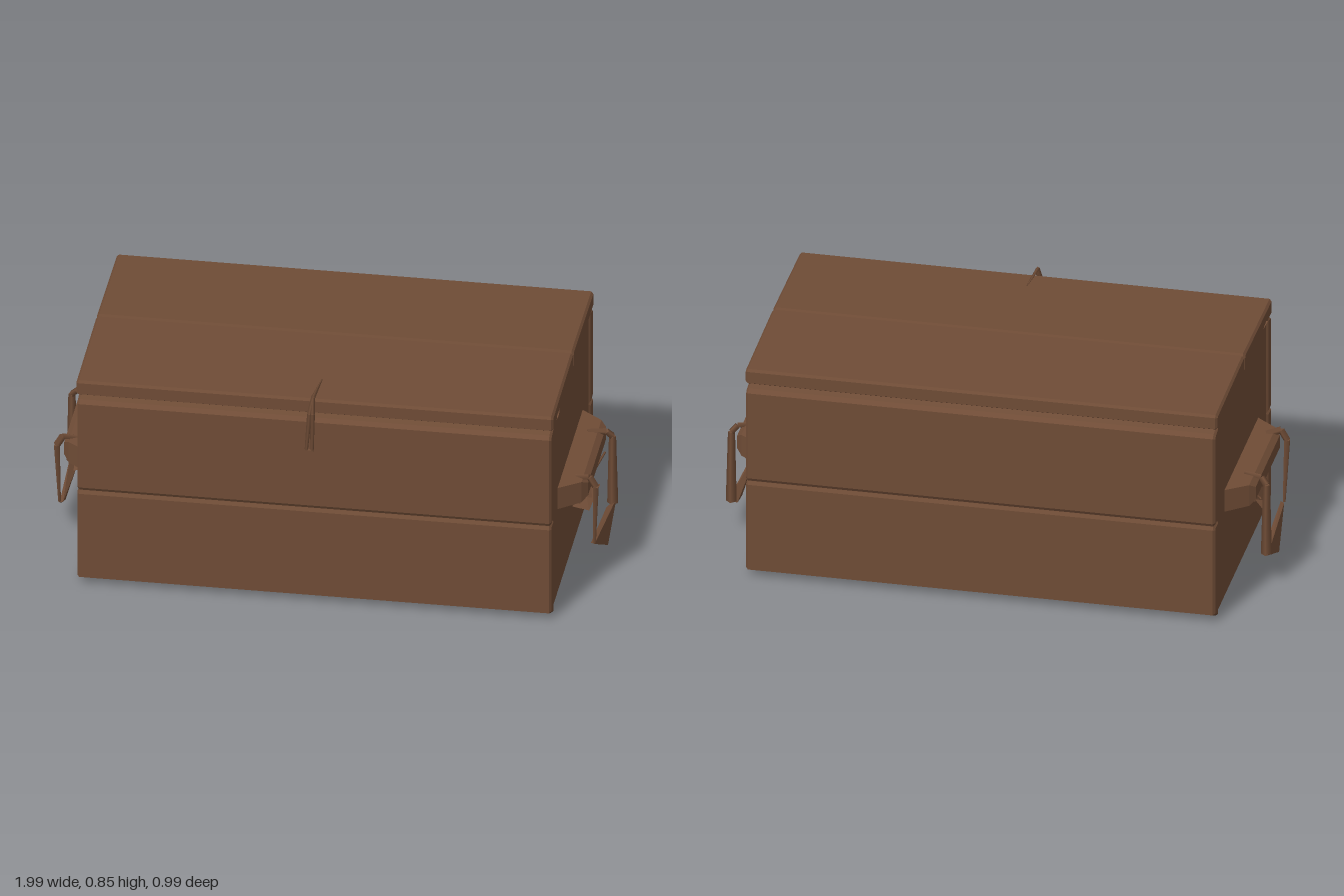
import * as THREE from 'three';
import { ConvexGeometry } from 'three/addons/geometries/ConvexGeometry.js';

const wood = new THREE.MeshStandardMaterial({ color: 0x6f4c36 });
wood.name = 'brownWood';

function add(parent, name, geometry) {
  const mesh = new THREE.Mesh(geometry, wood);
  mesh.name = name;
  parent.add(mesh);
  return mesh;
}

// Extrudes a [z, y] profile along x, centred on x = 0, with chamfered ends
function plank(profile, length, bevel = 0.008) {
  const shape = new THREE.Shape(profile.map(([z, y]) => new THREE.Vector2(-z, y)));
  const depth = length - 2 * bevel;
  const geometry = new THREE.ExtrudeGeometry(shape, {
    depth, bevelEnabled: bevel > 0, bevelThickness: bevel, bevelSize: bevel,
    bevelOffset: -bevel, bevelSegments: 1,
  });
  geometry.translate(0, 0, -depth / 2);
  geometry.rotateY(Math.PI / 2);
  return geometry;
}

// Front-to-back mirror of a profile about the middle of the chest
const mirrored = (profile) => profile.map(([z, y]) => [-0.025 - z, y]).reverse();

// Convex solid from [x, y, z] corners
const hull = (points) => new ConvexGeometry(points.map((p) => new THREE.Vector3(...p)));

// Square-section strand following straight segments; one radius per point
function strand(parent, name, points, radii) {
  for (let i = 0; i < points.length - 1; i++) {
    const a = new THREE.Vector3(...points[i]);
    const b = new THREE.Vector3(...points[i + 1]);
    const dir = b.clone().sub(a);
    const geometry = new THREE.CylinderGeometry(radii[i + 1], radii[i], dir.length(), 4);
    geometry.applyQuaternion(new THREE.Quaternion().setFromUnitVectors(
      new THREE.Vector3(0, 1, 0), dir.normalize()));
    geometry.translate((a.x + b.x) / 2, (a.y + b.y) / 2, (a.z + b.z) / 2);
    add(parent, name, geometry);
  }
}

// Side handle with rope sling; side is +1 or -1
function handle(side) {
  const group = new THREE.Group();
  group.name = side > 0 ? 'leftHandle' : 'rightHandle';
  const P = (points) => points.map(([x, y, z]) => [x * side, y, z]);

  // Grip: tapers away from the chest end, rounded on its outer face
  const grip = [];
  for (const [x, y0, y1, zBack, zFront] of [
    [0.84, 0.345, 0.432, -0.305, 0.28],
    [0.925, 0.347, 0.43, -0.24, 0.215],
    [0.945, 0.365, 0.415, -0.22, 0.19],
  ]) {
    for (const y of [y0, y1]) for (const z of [zBack, zFront]) grip.push([x, y, z]);
  }
  add(group, 'grip', hull(P(grip)));

  // Strands over the grip, and the sling joining them below
  strand(group, 'ropeStrand', P([[0.9, 0.425, 0.17], [0.95, 0.438, 0.187],
    [0.972, 0.4, 0.187], [0.965, 0.16, 0.17]]), [0.012, 0.013, 0.013, 0.006]);
  strand(group, 'ropeStrand', P([[0.89, 0.432, -0.15], [0.955, 0.428, -0.165],
    [0.975, 0.405, -0.176], [0.975, 0.13, -0.18]]), [0.008, 0.012, 0.013, 0.02]);
  add(group, 'ropeSling', hull(P([
    [0.952, 0.16, 0.172], [0.965, 0.155, 0.17], [0.955, 0.118, -0.165],
    [0.985, 0.135, -0.2], [0.985, 0.052, -0.01], [0.972, 0.065, -0.01],
  ])));

  // Knot of loose ends under the grip
  add(group, 'knot', hull(P([[0.86, 0.285, 0.09], [0.9, 0.27, 0.095],
    [0.9, 0.25, -0.02], [0.87, 0.262, -0.02], [0.88, 0.275, 0.03]])));
  add(group, 'knot', hull(P([[0.87, 0.25, 0.08], [0.93, 0.234, 0.072],
    [0.945, 0.255, -0.088], [0.9, 0.265, -0.03]])));
  add(group, 'knot', hull(P([[0.92, 0.337, -0.008], [0.88, 0.25, 0.012],
    [0.93, 0.25, 0.005], [0.9, 0.255, -0.033]])));
  strand(group, 'knotCord', P([[0.9, 0.28, -0.02], [0.95, 0.343, -0.165]]), [0.005, 0.004]);
  return group;
}

export function createModel() {
  const model = new THREE.Group();
  model.name = 'chest';

  // Front and back walls: two planks each
  const lower = [[0.405, 0.0], [0.415, 0.0], [0.47, 0.028], [0.47, 0.368], [0.463, 0.38], [0.405, 0.38]];
  const upper = [[0.405, 0.382], [0.463, 0.382], [0.47, 0.394], [0.47, 0.735], [0.455, 0.748], [0.405, 0.758]];
  add(model, 'frontLowerPlank', plank(lower, 1.71));
  add(model, 'frontUpperPlank', plank(upper, 1.71));
  add(model, 'backLowerPlank', plank(mirrored(lower), 1.71));
  add(model, 'backUpperPlank', plank(mirrored(upper), 1.71));

  // Lid: two planks meeting in a shallow ridge
  const lid = [[-0.011, 0.762], [0.445, 0.762], [0.455, 0.768], [0.455, 0.812], [0.448, 0.821],
    [-0.002, 0.83], [-0.011, 0.815]];
  add(model, 'lidFrontPlank', plank(lid, 1.72));
  add(model, 'lidBackPlank', plank(mirrored(lid).map(([z, y]) => [z + 0.002, y]), 1.72));

  // End walls with a raised lip near the front, bent outward past the lid
  const end = [[-0.43, 0.008], [0.405, 0.008], [0.405, 0.742], [0.355, 0.78], [0.18, 0.757],
    [-0.425, 0.757], [-0.43, 0.74]];
  for (const side of [1, -1]) {
    const geometry = plank(end, 0.06, 0);
    const pos = geometry.attributes.position;
    for (let i = 0; i < pos.count; i++) {
      const lip = pos.getY(i) > 0.77 ? 0.018 * side : 0;
      pos.setX(i, pos.getX(i) + 0.818 * side + lip);
    }
    geometry.computeVertexNormals();
    add(model, side > 0 ? 'leftEndWall' : 'rightEndWall', geometry);
    model.add(handle(side));
  }

  // Floor, slightly above the wall bottoms
  const floor = add(model, 'floor', new THREE.BoxGeometry(1.68, 0.03, 0.85));
  floor.position.set(0, 0.025, -0.0125);

  // Latch cord folded over the front edge of the lid
  const cord = new THREE.Group();
  cord.name = 'latchCord';
  for (const [x, w] of [[-0.026, 0.006], [-0.005, 0.006]]) {
    strand(cord, 'latchStrand', [[x, 0.625, 0.482], [x * 0.5, 0.78, 0.488], [-0.003, 0.838, 0.472]],
      [w, 0.009, 0.007]);
  }
  strand(cord, 'latchTail', [[-0.003, 0.838, 0.472], [0.008, 0.837, 0.335]], [0.008, 0.002]);
  add(cord, 'latchLoopEnd', new THREE.BoxGeometry(0.03, 0.008, 0.009)).position.set(-0.016, 0.625, 0.482);
  model.add(cord);

  return model;
}
